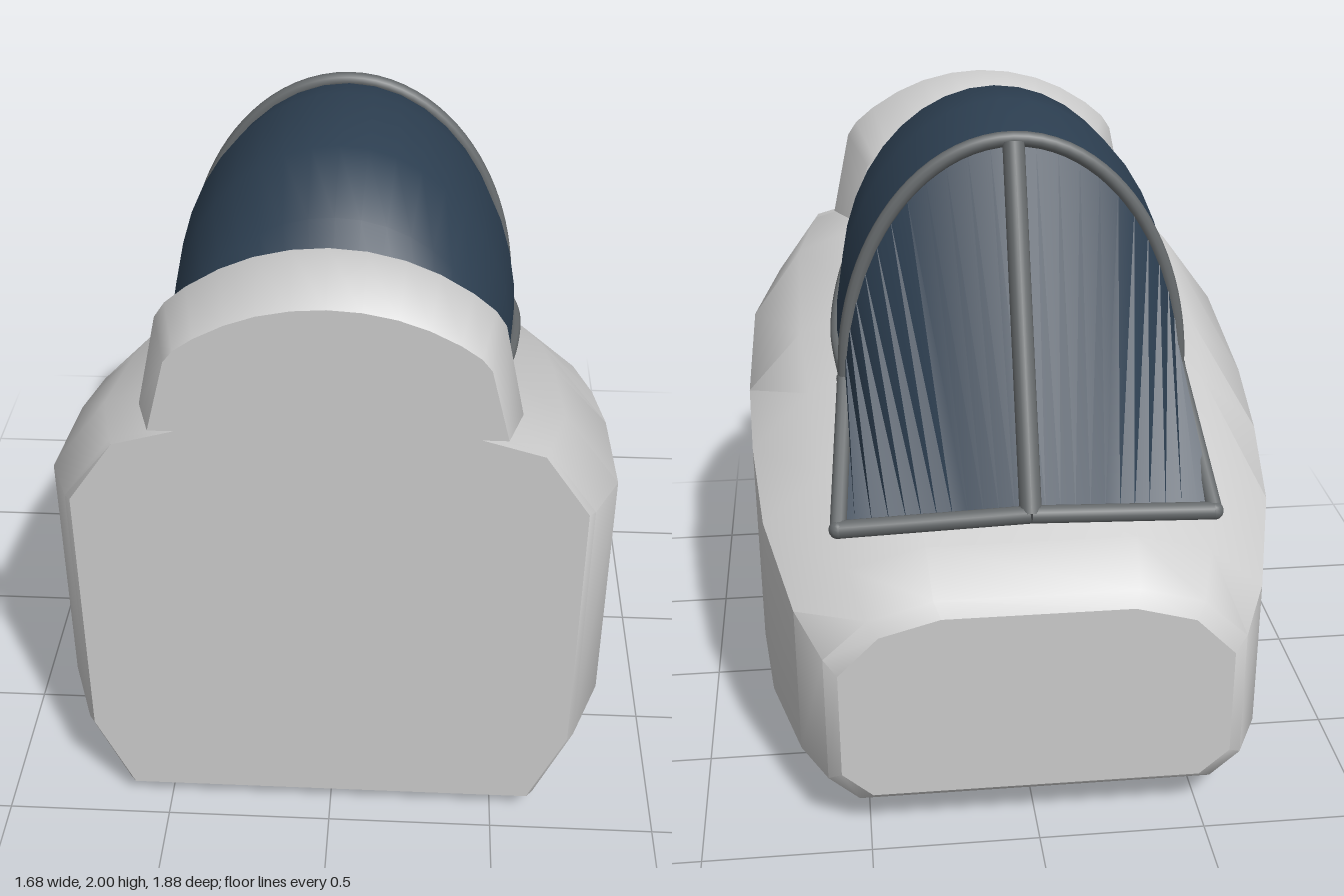
import * as THREE from 'three';
import { toCreasedNormals, mergeGeometries } from 'three/addons/utils/BufferGeometryUtils.js';

const V = (x, y, z) => new THREE.Vector3(x, y, z);

function fromTriangles(points, index) {
  const g = new THREE.BufferGeometry();
  g.setAttribute('position', new THREE.Float32BufferAttribute(points.flatMap(p => [p.x, p.y, p.z]), 3));
  g.setIndex(index);
  return g;
}

// Skin over cross-sections; a solid skin closes each section and caps both ends
function loft(sections, crease, solid) {
  const n = sections[0].length, points = sections.flat(), sides = [], caps = [];
  for (let i = 0; i < sections.length - 1; i++) {
    for (let j = 0; j < (solid ? n : n - 1); j++) {
      const k = (j + 1) % n, a = i * n + j, b = i * n + k, c = b + n, d = a + n;
      sides.push(a, d, c, a, c, b);
    }
  }
  const skin = toCreasedNormals(fromTriangles(points, sides), crease);
  if (!solid) return skin;
  const e = (sections.length - 1) * n;
  for (let j = 1; j < n - 1; j++) caps.push(0, j, j + 1, e, e + j + 1, e + j);
  return mergeGeometries([skin, toCreasedNormals(fromTriangles(points, caps), 0.1)]);
}

// Right half of a section, mirrored to the left
function mirrored(half, z) {
  const right = half.map(([x, y]) => V(x, y, z));
  const left = half.filter(([x]) => x > 0).map(([x, y]) => V(-x, y, z)).reverse();
  return [...right, ...left];
}

// Half-elliptical arch from the right foot to the left foot
function arch(z, w, base, top, n = 20) {
  return Array.from({ length: n + 1 }, (_, i) => {
    const t = Math.PI * i / n;
    return V(w * Math.cos(t), base + (top - base) * Math.sin(t), z);
  });
}

export function createModel() {
  const group = new THREE.Group();
  const grey = new THREE.MeshStandardMaterial({ color: 0xcccccc });
  const glass = new THREE.MeshStandardMaterial({ color: 0x2c3e50, side: THREE.DoubleSide });
  const metal = new THREE.MeshStandardMaterial({ color: 0x666a6c });

  const add = (name, geometry, material) => {
    const mesh = new THREE.Mesh(geometry, material);
    mesh.name = name;
    group.add(mesh);
    return mesh;
  };
  const rod = (name, a, b, r) => {
    const mesh = add(name, new THREE.CylinderGeometry(r, r, a.distanceTo(b), 12), metal);
    mesh.position.copy(a).lerp(b, 0.5);
    mesh.quaternion.setFromUnitVectors(V(0, 1, 0), b.clone().sub(a).normalize());
  };
  const bentRod = (name, points, r) => add(name,
    new THREE.TubeGeometry(new THREE.CatmullRomCurve3(points), 48, r, 10), metal);

  // Fuselage: z, then bottom, lower side, upper side, shoulder and deck corners
  const hull = [
    [0.94, [0.61, 0.07], [0.72, 0.32], [0.72, 1.17], [0.59, 1.36], [0.38, 1.42]],
    [0.91, [0.63, 0.06], [0.74, 0.315], [0.74, 1.16], [0.60, 1.355], [0.38, 1.42]],
    [0.66, [0.68, 0.02], [0.83, 0.28], [0.83, 1.08], [0.66, 1.31], [0.38, 1.42]],
    [0.20, [0.68, 0.00], [0.84, 0.23], [0.84, 0.98], [0.66, 1.18], [0.38, 1.27]],
    [-0.10, [0.67, 0.00], [0.825, 0.21], [0.825, 0.90], [0.64, 1.09], [0.36, 1.17]],
    [-0.42, [0.65, 0.01], [0.79, 0.20], [0.79, 0.80], [0.60, 0.96], [0.34, 1.04]],
    [-0.75, [0.59, 0.06], [0.70, 0.20], [0.70, 0.68], [0.54, 0.81], [0.31, 0.87]],
    [-0.91, [0.53, 0.12], [0.62, 0.20], [0.62, 0.61], [0.49, 0.73], [0.30, 0.785]],
    [-0.94, [0.49, 0.15], [0.58, 0.23], [0.58, 0.57], [0.46, 0.69], [0.28, 0.74]],
  ];
  add('fuselage', loft(hull.map(([z, ...half]) => mirrored(half, z)), 0.75, true), grey);

  // Headrest fairing: one arch profile, scaled to a ridge in the middle
  const fairing = [[0.53, 0], [0.47, 0.28], [0.44, 0.325], [0.38, 0.375], [0.29, 0.43],
    [0.2, 0.468], [0.1, 0.492], [0, 0.5]];
  const fairingSections = [[0.94, 0.92, 0.78], [0.81, 1, 1], [0.68, 0.87, 0.7]].map(([z, sx, sy]) =>
    mirrored(fairing.map(([x, y]) => [x * sx, 1.41 + y * sy]), z));
  add('headrestFairing', loft(fairingSections, 1.65, true), grey);

  // Canopy glass
  const canopy = [
    [0.68, 0.40, 1.42, 1.70],
    [0.56, 0.46, 1.37, 1.87],
    [0.31, 0.515, 1.31, 1.97],
    [0.00, 0.54, 1.25, 2.00],
    [-0.25, 0.52, 1.20, 1.93],
  ];
  add('canopyGlass', loft(canopy.map(c => arch(...c)), 0.8, false), glass);

  // Windscreen: flat panes from the hoop down to the front bar
  const corner = V(0.56, 0.90, -0.67), nose = V(0, 0.95, -0.725);
  const mirror = p => V(-p.x, p.y, p.z);
  const hoopPanes = arch(-0.25, 0.52, 1.20, 1.93, 6);
  const barPoints = [1, 0.64, 0.32, 0, -0.32, -0.64, -1].map(s => {
    const p = nose.clone().lerp(corner, Math.abs(s));
    return s < 0 ? mirror(p) : p;
  });
  // Fine arch steps keep the glass under the round hoop
  const fineHoop = arch(-0.25, 0.52, 1.20, 1.93, 24);
  const fineBar = fineHoop.map((_, i) => {
    const k = Math.min(Math.floor(i / 4), hoopPanes.length - 2);
    return barPoints[k].clone().lerp(barPoints[k + 1], i / 4 - k);
  });
  add('windscreenGlass', loft([fineHoop, fineBar], 0.3, false), glass);

  // Frame: hoop, centre strut, front bar, side rails and sills
  bentRod('hoop', arch(-0.25, 0.52, 1.20, 1.94, 24), 0.023);
  rod('centreStrut', V(0, 1.93, -0.26), nose, 0.033);
  for (const [side, m] of [['left', p => p], ['right', mirror]]) {
    const foot = m(V(0.52, 1.20, -0.25)), end = m(corner);
    rod(side + 'FrontBar', m(V(0, 0.95, -0.73)), end, 0.027);
    rod(side + 'WindscreenRail', foot, end, 0.025);
    bentRod(side + 'Sill', canopy.map(([z, w, base]) => m(V(w, base, z))), 0.02);
    add(side + 'HoopFoot', new THREE.SphereGeometry(0.027, 12, 8), metal).position.copy(foot);
    add(side + 'BarEnd', new THREE.SphereGeometry(0.028, 12, 8), metal).position.copy(end);
  }
  return group;
}
